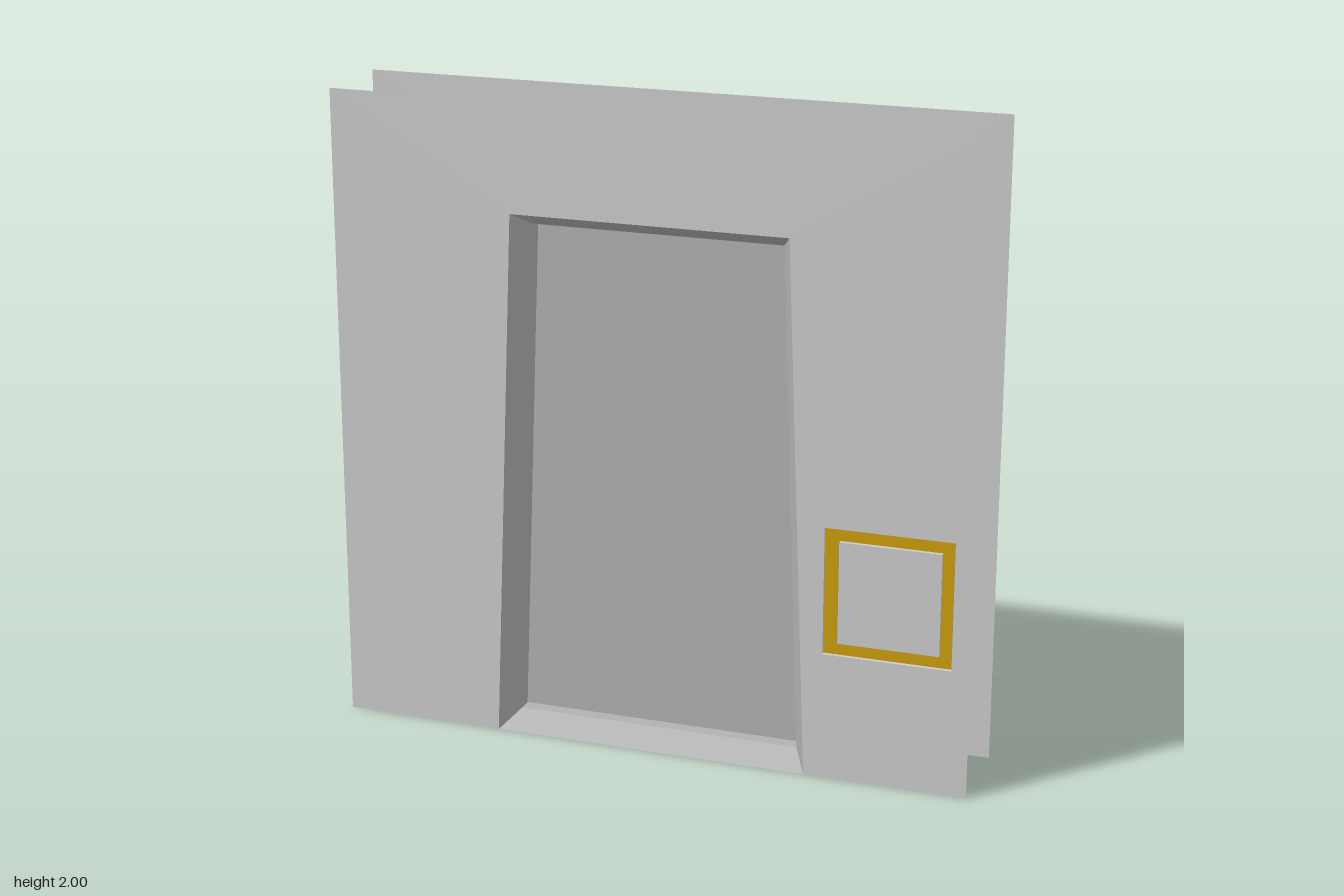
import * as THREE from 'three';

const D = 0.15; // half thickness of the doorway
const GROOVE = 0.013;
const BEVEL_Z = 0.067; // inner edge of the bevelled frame
const DOOR_Z = 0.024; // door face, set back behind the frame

const material = color => new THREE.MeshStandardMaterial({ color, side: THREE.DoubleSide, flatShading: true });
const grey = material(0xcccccc);
const darkGrey = material(0xb1b1b1);
const gold = material(0xcc9d0e);

function part(name, geometry, mat = grey) {
  const mesh = new THREE.Mesh(geometry, mat);
  mesh.name = name;
  return mesh;
}

const rectPoints = (x0, y0, x1, y1) =>
  [[x0, y0], [x1, y0], [x1, y1], [x0, y1]].map(([x, y]) => new THREE.Vector2(x, y));

// Flat sheet with an optional hole, placed at depth z
function sheet(points, hole, z) {
  const shape = new THREE.Shape(points);
  if (hole) shape.holes.push(new THREE.Path(hole));
  return new THREE.ShapeGeometry(shape).translate(0, 0, z);
}

// Joins four-cornered rings into flat faces, starting from the given edge (0 is the bottom)
function loft(rings, firstEdge = 0, lastEdge = 3) {
  const pos = [];
  for (let i = 0; i < rings.length - 1; i++) {
    for (let k = firstEdge; k <= lastEdge; k++) {
      const n = (k + 1) % 4;
      const [a, b, c, d] = [rings[i][k], rings[i + 1][k], rings[i + 1][n], rings[i][n]];
      pos.push(...a, ...b, ...c, ...a, ...c, ...d);
    }
  }
  const g = new THREE.BufferGeometry();
  g.setAttribute('position', new THREE.Float32BufferAttribute(pos, 3));
  g.computeVertexNormals();
  return g;
}

// Trapezoid rings, counter-clockwise from the bottom left
const trapezoid = (bottomX, topX, y0, y1, z) =>
  [[-bottomX, y0, z], [bottomX, y0, z], [topX, y1, z], [-topX, y1, z]];
const outer = z => trapezoid(0.497, 0.43, 0, 1.662, z);
const inner = z => trapezoid(0.45, 0.39, 0.046, 1.617, z);

// One face: wall, control panel, bevelled frame and door
function doorwaySide() {
  const side = new THREE.Group();
  const [bl, br, tr, tl] = outer(D);
  const outline = [[-1, 0], bl, tl, tr, br, [1, 0], [1, 2], [-1, 2]]
    .map(([x, y]) => new THREE.Vector2(x, y));
  const bandOuter = rectPoints(0.55, 0.4, 0.943, 0.8);
  const bandInner = rectPoints(0.595, 0.44, 0.905, 0.76);
  side.add(part('wall', sheet(outline, bandOuter, D)));

  // Sunken coloured band around a flush plate
  side.add(part('panelBand', sheet(bandOuter, bandInner, D - GROOVE), gold));
  side.add(part('panelPlate', sheet(bandInner, null, D)));
  const ring = (points, z) => points.map(p => [p.x, p.y, z]);
  for (const [name, points] of [['grooveOuterEdge', bandOuter], ['grooveInnerEdge', bandInner]]) {
    side.add(part(name, loft([ring(points, D - GROOVE), ring(points, D)])));
  }

  // Bevelled frame leading to a set-back door
  side.add(part('doorFrame', loft([inner(DOOR_Z), inner(BEVEL_Z), outer(D)]), darkGrey));
  const doorPoints = inner(DOOR_Z).map(([x, y]) => new THREE.Vector2(x, y));
  side.add(part('door', sheet(doorPoints, null, DOOR_Z), darkGrey));
  return side;
}

export function createModel() {
  const model = new THREE.Group();
  model.name = 'doorway';

  // Passage between the walls: threshold below, casing on the other three sides
  const passage = [outer(D), outer(-D)];
  model.add(part('threshold', loft(passage, 0, 0), darkGrey));
  model.add(part('casing', loft(passage, 1, 3)));

  // The back is the front turned half way round
  ['front', 'back'].forEach((name, i) => {
    const side = doorwaySide();
    side.name = name;
    side.rotation.y = i * Math.PI;
    model.add(side);
  });
  return model;
}
